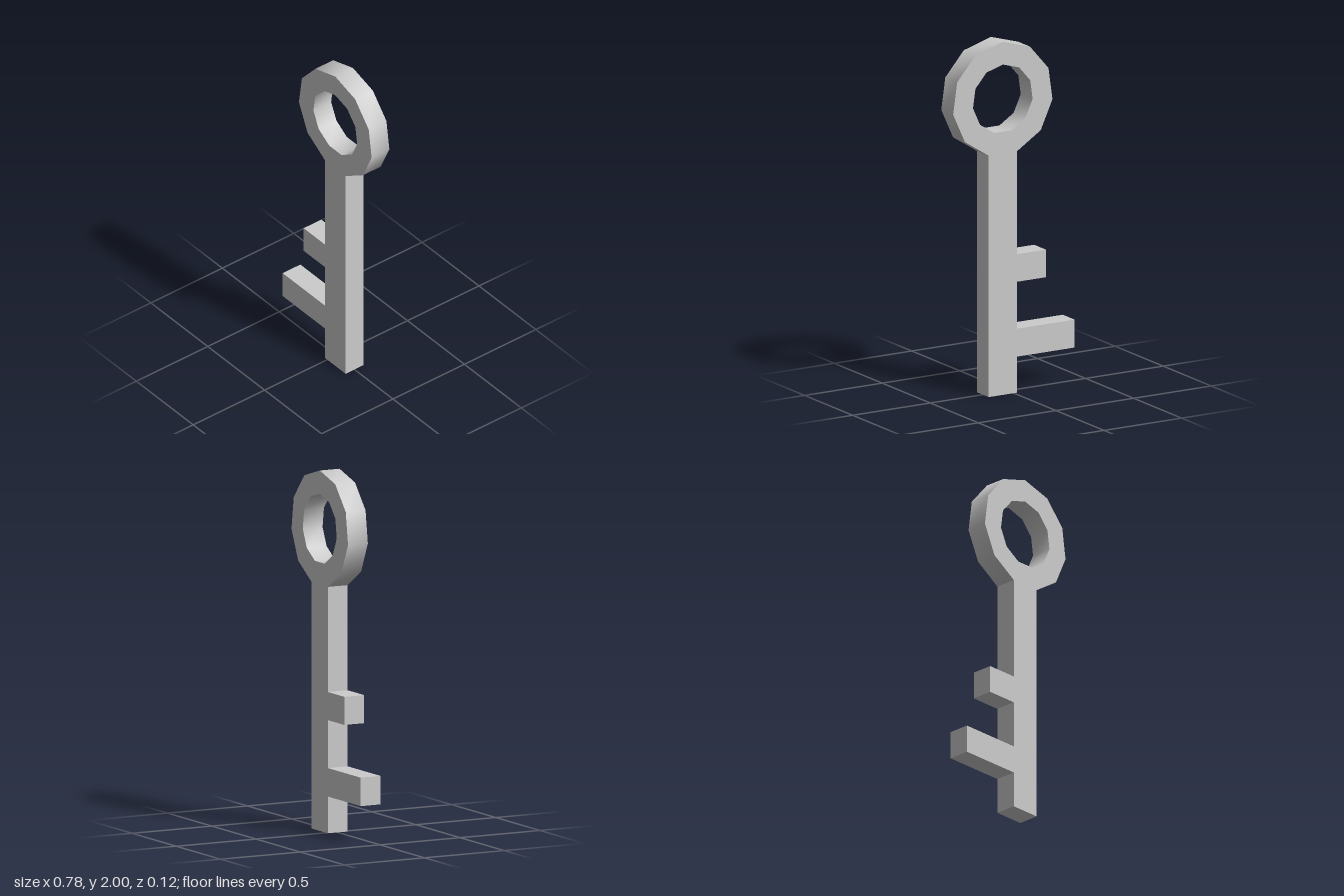
import * as THREE from 'three';
import { toCreasedNormals } from 'three/addons/utils/BufferGeometryUtils.js';

const DEPTH = 0.124;
const SIDES = 11;
const CENTER_X = 0.071;
const BOW_Y = 1.677;
const BOW_RADIUS = 0.323;
const HOLE_RADIUS = 0.194;

// Regular polygon with one corner pointing straight up
function polygon(radius) {
  return Array.from({ length: SIDES }, (_, i) => {
    const a = Math.PI / 2 + (i / SIDES) * Math.PI * 2;
    return new THREE.Vector2(Math.cos(a) * radius, Math.sin(a) * radius);
  });
}

export function createModel() {
  const key = new THREE.Group();
  key.name = 'key';
  const material = new THREE.MeshStandardMaterial({ color: 0xcccccc });

  function add(name, geometry, x, y, z = 0) {
    const mesh = new THREE.Mesh(geometry, material);
    mesh.name = name;
    mesh.position.set(x, y, z);
    key.add(mesh);
  }

  function addBar(name, x0, x1, y0, y1) {
    add(name, new THREE.BoxGeometry(x1 - x0, y1 - y0, DEPTH), (x0 + x1) / 2, (y0 + y1) / 2);
  }

  // Ring handle: smooth-shaded rims with sharp front and back edges
  const ring = new THREE.Shape(polygon(BOW_RADIUS));
  ring.holes.push(new THREE.Path(polygon(HOLE_RADIUS)));
  const bow = new THREE.ExtrudeGeometry(ring, { depth: DEPTH, bevelEnabled: false });
  add('bow', toCreasedNormals(bow, 0.7), CENTER_X, BOW_Y, -DEPTH / 2);

  // Shaft meets the bottom facet of the ring exactly
  const half = BOW_RADIUS * Math.sin(Math.PI / SIDES);
  const shaftTop = BOW_Y - BOW_RADIUS * Math.cos(Math.PI / SIDES);
  const shaftLeft = CENTER_X - half;
  addBar('shaft', shaftLeft, CENTER_X + half, 0, shaftTop);

  // Teeth on one side of the shaft
  addBar('shortTooth', -0.207, shaftLeft, 0.628, 0.784);
  addBar('longTooth', -0.392, shaftLeft, 0.204, 0.362);

  return key;
}
